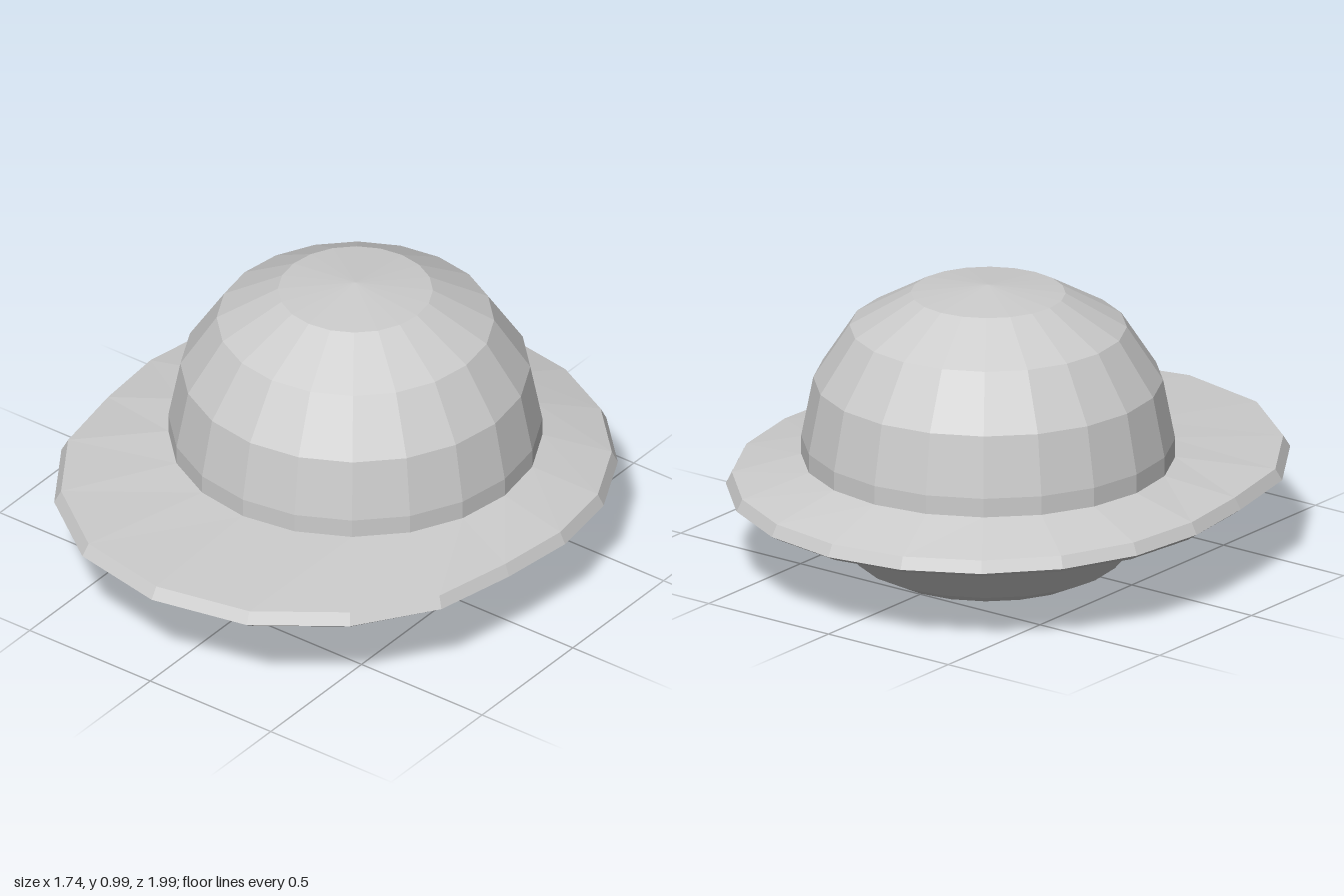
import * as THREE from 'three';

const SIDES = 20;
const CENTRE_Z = -0.13;
// Radial stretch of the front quarter, from the side (0) to the front tip (5)
const STRETCH = [1, 1.02, 1.12, 1.2, 1.27, 1.29];

const material = new THREE.MeshStandardMaterial({ color: 0xcccccc, flatShading: true });

// Ring of points; pull is how much of the front stretch applies, tilt raises the front
function ring(radius, y, pull = 0, tilt = 0) {
  const points = [];
  for (let i = 0; i < SIDES; i++) {
    const angle = (i / SIDES) * Math.PI * 2;
    const step = i <= 10 ? Math.min(i, 10 - i) : 0;
    const r = radius * (1 + (STRETCH[step] - 1) * pull);
    const z = CENTRE_Z + Math.sin(angle) * r;
    points.push([Math.cos(angle) * r, y + tilt * z, z]);
  }
  return points;
}

// Skin between successive rings; a radius of zero closes an end to a point
function loft(name, rings) {
  const positions = [];
  const index = [];
  rings.forEach((points) => points.forEach((p) => positions.push(...p)));
  for (let k = 0; k < rings.length - 1; k++) {
    for (let i = 0; i < SIDES; i++) {
      const j = (i + 1) % SIDES;
      const a = k * SIDES + i, b = k * SIDES + j;
      const c = a + SIDES, d = b + SIDES;
      if (rings[k][0][0] > 0) index.push(a, c, b);
      if (rings[k + 1][0][0] > 0) index.push(b, c, d);
    }
  }
  const geometry = new THREE.BufferGeometry();
  geometry.setAttribute('position', new THREE.Float32BufferAttribute(positions, 3));
  geometry.setIndex(index);
  geometry.computeVertexNormals();
  const mesh = new THREE.Mesh(geometry, material);
  mesh.name = name;
  return mesh;
}

export function createModel() {
  const group = new THREE.Group();
  group.name = 'domedBody';

  // Rounded bowl, flaring forward where it meets the brim
  group.add(loft('lowerBowl', [
    ring(0, 0), ring(0.365, 0), ring(0.445, 0.04), ring(0.56, 0.175),
    ring(0.62, 0.28, 0.72, 0.01),
  ]));

  // Bevelled brim, longer and slightly higher at the front
  group.add(loft('brim', [
    ring(0.62, 0.28, 0.72, 0.01), ring(0.835, 0.27, 1, 0.02),
    ring(0.87, 0.295, 1, 0.025), ring(0.85, 0.335, 1, 0.025), ring(0.62, 0.385),
  ]));

  // Faceted dome
  group.add(loft('dome', [
    ring(0.62, 0.385), ring(0.62, 0.45), ring(0.58, 0.655),
    ring(0.46, 0.84), ring(0.257, 0.957), ring(0, 0.985),
  ]));

  return group;
}
